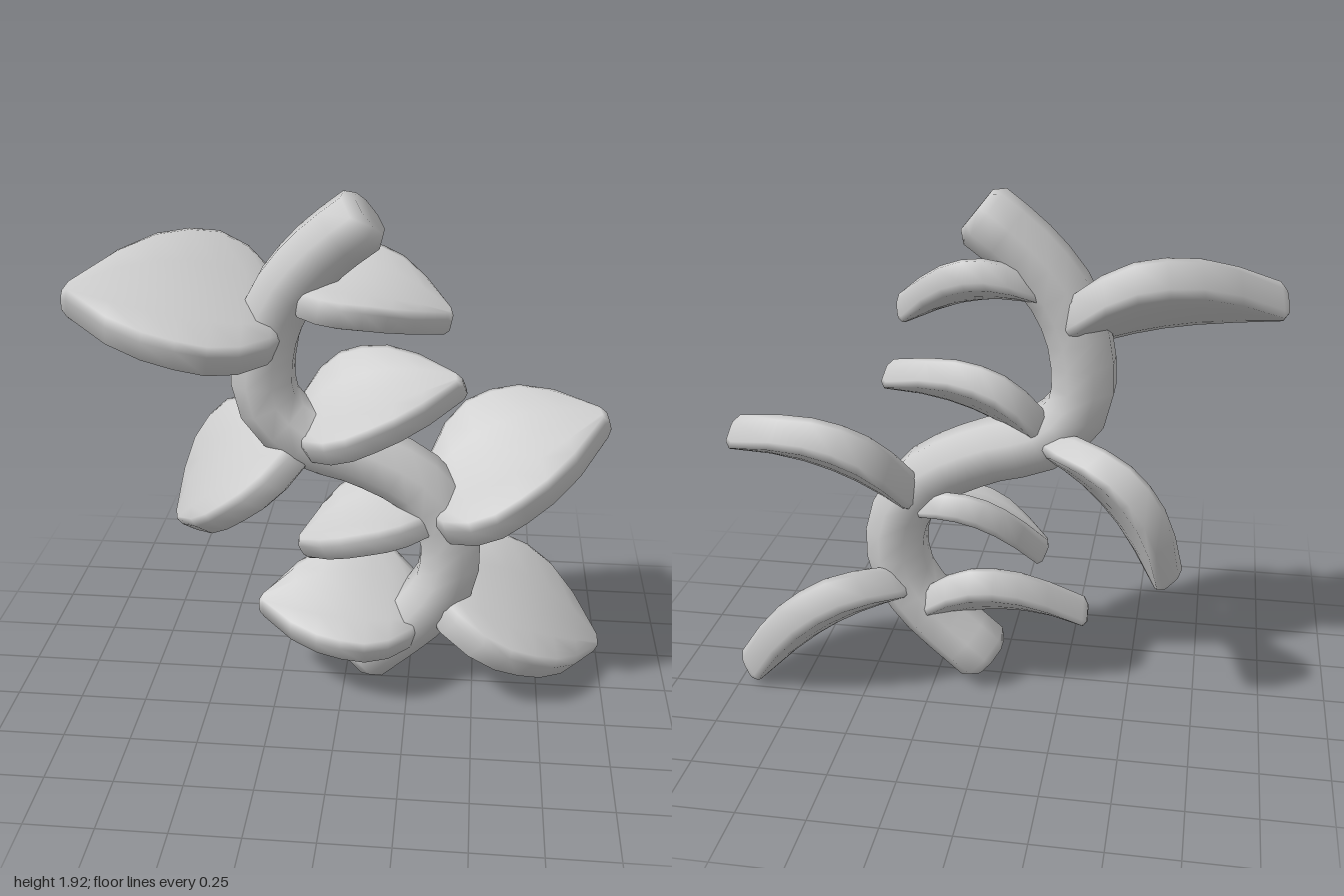
import * as THREE from 'three';

const V = (x, y, z) => new THREE.Vector3(x, y, z);
const material = new THREE.MeshStandardMaterial({ color: 0xcccccc, roughness: 0.8 });

// Skin a list of equal-length rings and close both ends
function loft(rings) {
  const n = rings[0].length, pos = [], idx = [];
  rings.forEach(r => r.forEach(p => pos.push(p.x, p.y, p.z)));
  for (let i = 0; i < rings.length - 1; i++)
    for (let j = 0; j < n; j++) {
      const k = (j + 1) % n, a = i * n + j, b = i * n + k;
      idx.push(a, b, b + n, a, b + n, a + n);
    }
  [[rings[0], 0], [rings[rings.length - 1], (rings.length - 1) * n]].forEach(([ring, start], end) => {
    const c = V(0, 0, 0);
    ring.forEach(p => c.addScaledVector(p, 1 / n));
    const m = pos.length / 3;
    pos.push(c.x, c.y, c.z);
    for (let j = 0; j < n; j++) {
      const a = start + j, b = start + (j + 1) % n;
      idx.push(m, end ? a : b, end ? b : a);
    }
  });
  const g = new THREE.BufferGeometry();
  g.setAttribute('position', new THREE.Float32BufferAttribute(pos, 3));
  g.setIndex(idx);
  g.computeVertexNormals();
  return g;
}

// S-shaped stem with eight sides and bevelled ends
function stemGeometry() {
  const curve = new THREE.CatmullRomCurve3([
    [0.045, 0.09], [0.17, 0.2], [0.29, 0.315], [0.385, 0.47], [0.39, 0.67], [0.285, 0.845], [0.07, 0.965],
    [-0.16, 1.04], [-0.285, 1.17], [-0.29, 1.39], [-0.22, 1.575], [-0.09, 1.73], [0.082, 1.867]
  ].map(([x, y]) => V(x, y, -0.02)));
  const steps = 26, rings = [];
  const addRing = (t, scale) => {
    const c = curve.getPointAt(t), d = curve.getTangentAt(t);
    const s = V(0, 0, 1), n = d.cross(s);
    rings.push(Array.from({ length: 8 }, (_, j) => {
      const a = (j + 0.5) * Math.PI / 4;
      return c.clone().addScaledVector(s, 0.13 * scale * Math.cos(a)).addScaledVector(n, 0.12 * scale * Math.sin(a));
    }));
  };
  addRing(0, 0.72);
  for (let i = 0; i <= steps; i++) addRing(0.015 + 0.97 * i / steps, 1);
  addRing(1, 0.72);
  return loft(rings);
}

// Outline of a leaf: position along it, share of the half width
const outline = [[-0.1, 0.25], [-0.02, 0.6], [0.12, 0.88], [0.27, 1], [0.42, 0.97], [0.58, 0.86], [0.76, 0.61], [0.97, 0.14], [1, 0.07]];

// Thick leaf, arched along its length, cupped on top and flatter below
function leafGeometry({ base, tip, side, arch, thick }) {
  const b = V(...base), d = V(...tip).sub(b), s = V(...side);
  const width = s.length();
  let n = d.clone().cross(s).normalize();
  if (n.y < 0) { s.negate(); n.negate(); }
  s.normalize();
  const rings = outline.map(([t, w], i) => {
    const half = w * width, bevel = Math.min(0.03, half * 0.4);
    const h = thick * (i === 0 || i === outline.length - 1 ? 0.6 : 1);
    const e = half - bevel;
    const section = [[half, -h * 0.65], [half, h * 0.6], [e, h], [e * 0.5, h], [0, h], [-e * 0.5, h], [-e, h],
      [-half, h * 0.6], [-half, -h * 0.65], [-e, -h], [-e * 0.5, -h], [0, -h], [e * 0.5, -h], [e, -h]];
    const rise = arch * 4 * t * (1 - t);
    return section.map(([u, v]) => b.clone().addScaledVector(d, t).addScaledVector(s, u)
      .addScaledVector(n, v + rise + (v > 0 ? 0.04 : 0.025) * ((u / width) ** 2 - 0.4)));
  });
  return loft(rings);
}

// Base and tip of the midrib, and the half width towards the back
const leaves = {
  upperRightLeaf: { base: [-0.28, 1.49, -0.01], tip: [-0.99, 1.57, 0.09], side: [-0.02, 0.145, -0.27], arch: 0.045, thick: 0.068 },
  upperLeftLeaf: { base: [-0.13, 1.6, -0.01], tip: [0.375, 1.5, 0], side: [0.02, 0.068, -0.195], arch: 0.05, thick: 0.053 },
  middleLeftSmallLeaf: { base: [-0.13, 1.08, 0], tip: [0.425, 1.26, -0.01], side: [-0.03, 0.103, -0.205], arch: 0.045, thick: 0.058 },
  middleRightLeaf: { base: [-0.23, 1.02, -0.05], tip: [-0.655, 0.57, -0.17], side: [-0.07, 0.095, -0.25], arch: 0.055, thick: 0.062 },
  middleLeftLeaf: { base: [0.36, 0.8, -0.02], tip: [0.965, 1.07, -0.19], side: [-0.065, 0.128, -0.26], arch: 0.05, thick: 0.068 },
  lowerRightSmallLeaf: { base: [0.28, 0.75, -0.01], tip: [-0.175, 0.57, -0.01], side: [-0.02, 0.055, -0.185], arch: 0.05, thick: 0.053 },
  lowerRightLeaf: { base: [0.25, 0.325, -0.01], tip: [-0.335, 0.32, 0.01], side: [0, 0.13, -0.21], arch: 0.05, thick: 0.06 },
  lowerLeftLeaf: { base: [0.41, 0.4, -0.02], tip: [0.98, 0.065, -0.2], side: [-0.01, 0.125, -0.26], arch: 0.05, thick: 0.068 }
};

export function createModel() {
  const group = new THREE.Group();
  group.name = 'leafyVine';
  const add = (name, geometry) => {
    const mesh = new THREE.Mesh(geometry, material);
    mesh.name = name;
    group.add(mesh);
  };
  add('stem', stemGeometry());
  for (const [name, leaf] of Object.entries(leaves)) add(name, leafGeometry(leaf));
  return group;
}
